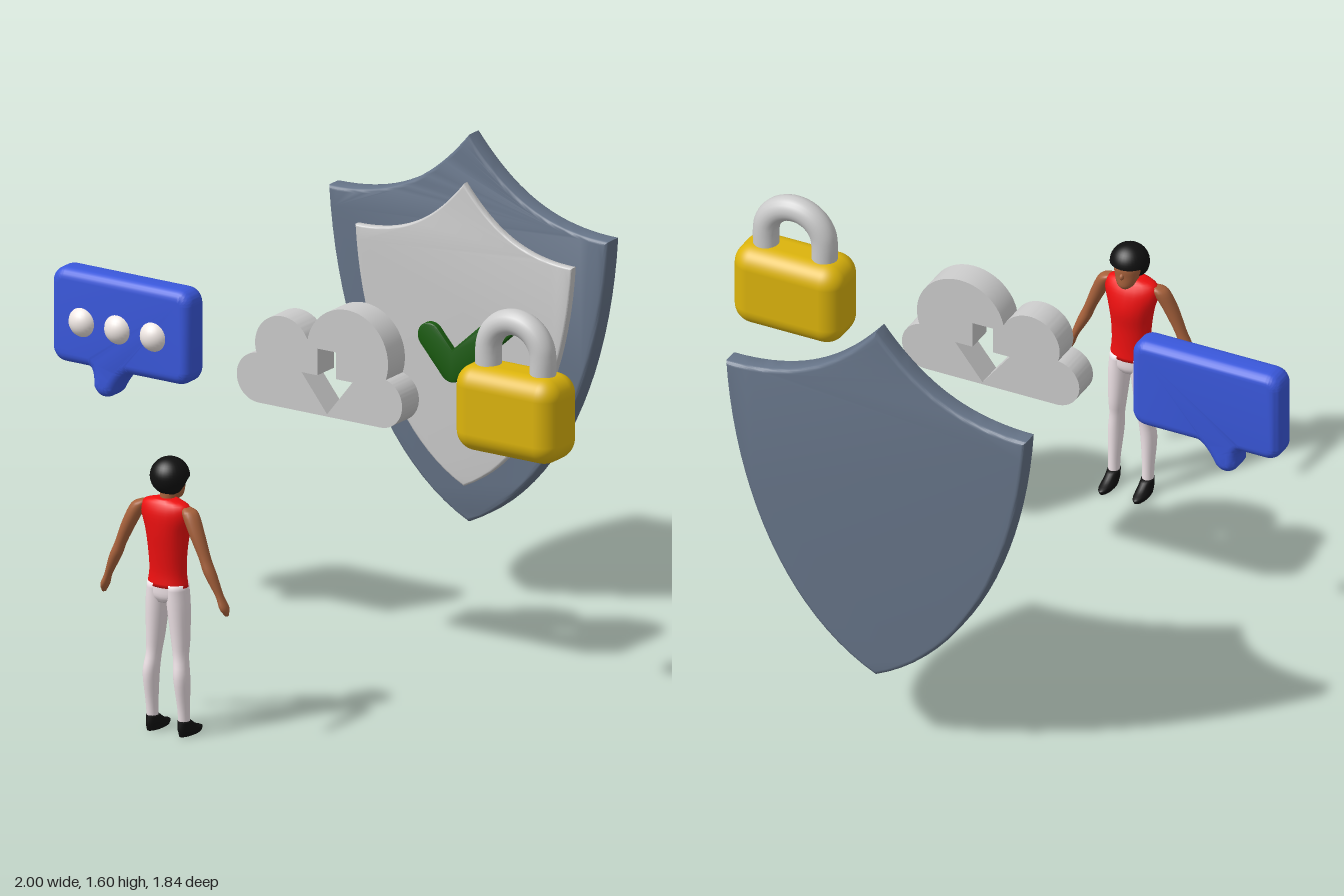
import * as THREE from 'three';
import { toCreasedNormals } from 'three/addons/utils/BufferGeometryUtils.js';
import { RoundedBoxGeometry } from 'three/addons/geometries/RoundedBoxGeometry.js';

const mat = (color) => new THREE.MeshStandardMaterial({ color });
const GREY = mat(0xcccccc), SLATE = mat(0x667488), BLUE = mat(0x3a58dc), GOLD = mat(0xdcb40c);
const GREEN = mat(0x1a5a10), WHITE = mat(0xf0e8e4), RED = mat(0xf01010);
const SKIN = mat(0xa8623c), BLACK = mat(0x101010), PANTS = mat(0xeee2e6);

function add(parent, name, geometry, material, x = 0, y = 0, z = 0) {
  const mesh = new THREE.Mesh(geometry, material);
  mesh.name = name;
  mesh.position.set(x, y, z);
  parent.add(mesh);
  return mesh;
}

function subgroup(parent, name, x = 0, z = 0) {
  const g = new THREE.Group();
  g.name = name;
  g.position.set(x, 0, z);
  parent.add(g);
  return g;
}

// Plate between z0 and z1; grow is how far the bevel pushes the outline outwards
function plate(shape, z0, z1, bevel = 0, grow = 0, bevelSegments = 4) {
  const geo = new THREE.ExtrudeGeometry(shape, {
    depth: z1 - z0 - 2 * bevel, curveSegments: 20, bevelEnabled: bevel > 0,
    bevelThickness: bevel, bevelSize: bevel, bevelOffset: grow - bevel, bevelSegments,
  });
  geo.translate(0, 0, z0 + bevel);
  return toCreasedNormals(geo, 0.6);
}

// Smooth body through elliptical sections [x, y, z, rx, rz], listed from bottom to top
function loft(sections, mirror = 1, sides = 20) {
  const curve = (f) => new THREE.CatmullRomCurve3(sections.map(f), false, 'catmullrom');
  const centre = curve((s) => new THREE.Vector3(s[0] * mirror, s[1], s[2]));
  const radius = curve((s) => new THREE.Vector3(s[3], s[4], 0));
  const steps = (sections.length - 1) * 4, pos = [], idx = [];
  for (let i = -1; i <= steps + 1; i++) {
    const t = THREE.MathUtils.clamp(i / steps, 0, 1);
    const c = centre.getPoint(t), r = radius.getPoint(t);
    const open = i < 0 || i > steps ? 0 : 1; // the end rings close to a point
    for (let j = 0; j < sides; j++) {
      const a = (j / sides) * Math.PI * 2;
      pos.push(c.x + Math.sin(a) * r.x * open, c.y, c.z + Math.cos(a) * r.y * open);
    }
  }
  for (let i = 0; i < steps + 2; i++) {
    for (let j = 0; j < sides; j++) {
      const a = i * sides + j, b = i * sides + ((j + 1) % sides);
      idx.push(a, b, b + sides, a, b + sides, a + sides);
    }
  }
  const geo = new THREE.BufferGeometry();
  geo.setAttribute('position', new THREE.Float32BufferAttribute(pos, 3));
  geo.setIndex(idx);
  geo.computeVertexNormals();
  return geo;
}

// Pointed shield outline from half width, top, corner and bottom heights
function shieldShape(w, top, corner, bottom) {
  const s = new THREE.Shape(), h = top - corner, d = corner - bottom;
  s.moveTo(0, top);
  s.bezierCurveTo(-0.27 * w, corner + h / 3, -0.55 * w, corner, -w, corner);
  s.bezierCurveTo(-0.945 * w, corner - 0.453 * d, -0.6 * w, bottom + 0.142 * d, 0, bottom);
  s.bezierCurveTo(0.6 * w, bottom + 0.142 * d, 0.945 * w, corner - 0.453 * d, w, corner);
  s.bezierCurveTo(0.55 * w, corner, 0.27 * w, corner + h / 3, 0, top);
  return s;
}

// Thick line with round ends and a round corner
function tickShape(a, b, c, r) {
  const s = new THREE.Shape();
  const u = Math.atan2(b[1] - a[1], b[0] - a[0]), v = Math.atan2(c[1] - b[1], c[0] - b[0]);
  const q = Math.PI / 2, k = r / Math.cos((v - u) / 2), m = (u + v) / 2 + q;
  s.absarc(a[0], a[1], r, u + q, u + 3 * q, false);
  s.absarc(b[0], b[1], r, u - q, v - q, false);
  s.absarc(c[0], c[1], r, v - q, v + q, false);
  s.lineTo(b[0] + k * Math.cos(m), b[1] + k * Math.sin(m));
  return s;
}

// Cloud outline: arcs of neighbouring circles [x, y, r] joined where they cross
function cloudShape(circles) {
  const s = new THREE.Shape();
  let start = -Math.PI / 2;
  circles.forEach(([x, y, r], i) => {
    const next = circles[i + 1];
    if (!next) return s.absarc(x, y, r, start, Math.PI * 1.5, false);
    const dx = next[0] - x, dy = next[1] - y, d = Math.hypot(dx, dy);
    const along = (d * d + r * r - next[2] ** 2) / (2 * d);
    const end = Math.atan2(dy, dx) - Math.acos(along / r);
    const px = x + r * Math.cos(end), py = y + r * Math.sin(end);
    s.absarc(x, y, r, start, end < start ? end + Math.PI * 2 : end, false);
    start = Math.atan2(py - next[1], px - next[0]);
  });
  return s;
}

function buildPerson(root) {
  const p = subgroup(root, 'person', -0.004);
  add(p, 'shirt', loft([
    [0, 0.51, 0.858, 0.074, 0.051], [0, 0.56, 0.858, 0.067, 0.049], [0, 0.63, 0.86, 0.07, 0.053],
    [0, 0.7, 0.86, 0.08, 0.06], [0, 0.76, 0.866, 0.096, 0.055], [0, 0.795, 0.87, 0.085, 0.042],
    [0, 0.812, 0.87, 0.035, 0.03]]), RED);
  add(p, 'hips', loft([
    [0, 0.455, 0.858, 0.05, 0.035], [0, 0.48, 0.858, 0.074, 0.048], [0, 0.53, 0.858, 0.07, 0.049]]), PANTS);
  add(p, 'neck', new THREE.CylinderGeometry(0.023, 0.027, 0.07, 20), SKIN, 0, 0.825, 0.86);
  add(p, 'head', loft([
    [0, 0.798, 0.815, 0.016, 0.016], [0, 0.812, 0.82, 0.03, 0.03], [0, 0.845, 0.83, 0.042, 0.04],
    [0, 0.88, 0.835, 0.046, 0.045], [0, 0.92, 0.84, 0.03, 0.03]]), SKIN);
  add(p, 'nose', new THREE.SphereGeometry(1, 12, 8), SKIN, 0, 0.85, 0.791).scale.set(0.008, 0.012, 0.011);

  // Hair: ellipsoid whose lower front is flattened up to uncover the face
  const hair = new THREE.SphereGeometry(1, 32, 24), v = hair.attributes.position;
  for (let i = 0; i < v.count; i++) {
    const keep = THREE.MathUtils.smoothstep(v.getZ(i), -0.35, 0.15);
    if (v.getY(i) < 0) v.setY(i, v.getY(i) * (0.08 + 0.92 * keep));
  }
  hair.scale(0.066, 0.064, 0.066);
  hair.computeVertexNormals();
  add(p, 'hair', hair, BLACK, 0, 0.881, 0.848);

  for (const [side, s] of [['left', 1], ['right', -1]]) {
    add(p, side + 'Arm', loft([
      [0.241, 0.448, 0.874, 0.006, 0.008], [0.234, 0.475, 0.878, 0.014, 0.021],
      [0.218, 0.515, 0.882, 0.013, 0.016], [0.186, 0.585, 0.888, 0.021, 0.022],
      [0.165, 0.635, 0.888, 0.02, 0.021], [0.13, 0.715, 0.885, 0.026, 0.027],
      [0.1, 0.775, 0.877, 0.027, 0.029], [0.085, 0.792, 0.873, 0.012, 0.015]], s), SKIN);
    add(p, side + 'Leg', loft([
      [0.062, 0.04, 0.856, 0.019, 0.021], [0.062, 0.1, 0.86, 0.02, 0.024],
      [0.06, 0.2, 0.868, 0.026, 0.033], [0.053, 0.27, 0.862, 0.025, 0.03],
      [0.049, 0.33, 0.858, 0.03, 0.036], [0.042, 0.44, 0.858, 0.037, 0.044],
      [0.036, 0.52, 0.858, 0.035, 0.047]], s), PANTS);
    add(p, side + 'Shoe', loft([
      [0.063, 0, 0.822, 0.021, 0.058], [0.063, 0.014, 0.822, 0.024, 0.062],
      [0.062, 0.028, 0.84, 0.023, 0.045], [0.062, 0.052, 0.857, 0.021, 0.025]], s), BLACK);
  }
}

export function createModel() {
  const root = new THREE.Group();
  root.name = 'onlineSecurityScene';

  // Shield with raised panel and tick
  const shield = subgroup(root, 'shield', 0.035);
  add(shield, 'shieldBody', plate(shieldShape(0.55, 1.6, 1.33, 0.27), -0.92, -0.845, 0.014), SLATE);
  add(shield, 'shieldPanel', plate(shieldShape(0.427, 1.44, 1.225, 0.4), -0.85, -0.82, 0.008), GREY);
  add(shield, 'tick', plate(tickShape([-0.12, 0.9], [-0.035, 0.802], [0.17, 0.99], 0.046), -0.825, -0.798, 0.005), GREEN);

  // Cloud with a download arrow cut through it
  const cloud = cloudShape([[0.295, 0.97, 0.085], [0.165, 1.105, 0.16], [-0.09, 1.09, 0.108], [-0.185, 0.97, 0.085]]);
  const arrow = [[0.047, 1.112], [0.047, 1.02], [-0.015, 1.02], [0.085, 0.893], [0.185, 1.02], [0.121, 1.02], [0.121, 1.112]];
  cloud.holes.push(new THREE.Path(arrow.map(([x, y]) => new THREE.Vector2(x, y))));
  add(root, 'downloadCloud', plate(cloud, -0.043, 0.056), GREY);

  // Speech bubble, drawn as a core outline that the round bevel fattens
  const chat = subgroup(root, 'speechBubble');
  const b = new THREE.Shape();
  b.moveTo(-0.85, 0.92);
  b.lineTo(-0.945, 0.92);
  b.quadraticCurveTo(-0.965, 0.92, -0.965, 0.94);
  b.lineTo(-0.965, 1.155);
  b.quadraticCurveTo(-0.965, 1.175, -0.945, 1.175);
  b.lineTo(-0.51, 1.175);
  b.quadraticCurveTo(-0.49, 1.175, -0.49, 1.155);
  b.lineTo(-0.49, 0.94);
  b.quadraticCurveTo(-0.49, 0.92, -0.51, 0.92);
  b.lineTo(-0.7, 0.92);
  b.quadraticCurveTo(-0.745, 0.91, -0.785, 0.832);
  b.quadraticCurveTo(-0.797, 0.818, -0.805, 0.832);
  b.quadraticCurveTo(-0.805, 0.91, -0.85, 0.92);
  add(chat, 'bubble', plate(b, -0.043, 0.065, 0.035, 0.035, 6), BLUE);
  for (let i = 0; i < 3; i++) {
    add(chat, 'dot', new THREE.SphereGeometry(0.054, 28, 18), WHITE, -0.875 + i * 0.14, 1.038, 0.044);
  }

  // Padlock
  const lock = subgroup(root, 'padlock', 0.8, 0.015);
  add(lock, 'lockBody', new RoundedBoxGeometry(0.4, 0.295, 0.195, 7, 0.07), GOLD, 0, 1.022, 0);
  const path = [new THREE.Vector3(0.107, 1.1, 0), new THREE.Vector3(0.107, 1.16, 0)];
  for (let i = 0; i <= 10; i++) {
    const a = (i / 10) * Math.PI;
    path.push(new THREE.Vector3(0.107 * Math.cos(a), 1.22 + 0.107 * Math.sin(a), 0));
  }
  path.push(new THREE.Vector3(-0.107, 1.16, 0), new THREE.Vector3(-0.107, 1.1, 0));
  add(lock, 'shackle', new THREE.TubeGeometry(new THREE.CatmullRomCurve3(path), 64, 0.044, 20), GREY);

  buildPerson(root);
  return root;
}
